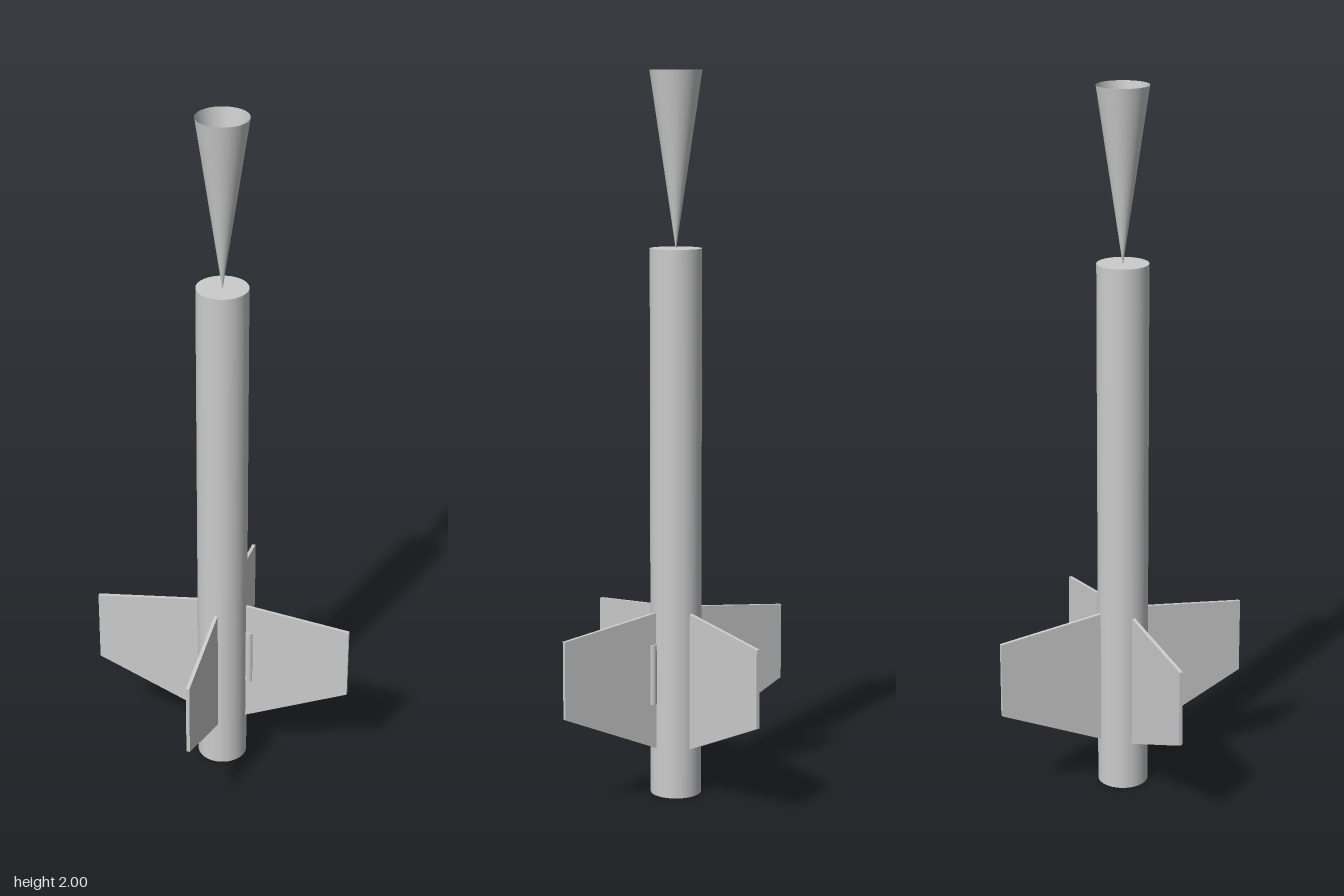
import * as THREE from 'three';

export function createModel() {
  const group = new THREE.Group();
  group.name = 'modelRocket';
  const grey = new THREE.MeshStandardMaterial({ color: 0xcccccc, side: THREE.DoubleSide });
  grey.name = 'light grey';

  const add = (name, geometry, y, x = 0) => {
    const mesh = new THREE.Mesh(geometry, grey);
    mesh.name = name;
    mesh.position.set(x, y, 0);
    group.add(mesh);
    return mesh;
  };

  const radius = 0.071, bodyHeight = 1.525, noseHeight = 2 - bodyHeight;

  // Body tube, closed at both ends
  add('bodyTube', new THREE.CylinderGeometry(radius, radius, bodyHeight, 64), bodyHeight / 2);

  // Hollow cone standing on its tip, open at the top
  add('noseCone', new THREE.CylinderGeometry(radius, 0.001, noseHeight, 64, 1, true), bodyHeight + noseHeight / 2);

  // Four swept fins, rooted just inside the tube wall
  const thickness = 0.01;
  const outline = new THREE.Shape([
    [radius - 0.002, 0.137], [0.371, 0.27], [0.371, 0.486], [radius - 0.002, 0.524],
  ].map(([x, y]) => new THREE.Vector2(x, y)));
  const finGeometry = new THREE.ExtrudeGeometry(outline, { depth: thickness, bevelEnabled: false });
  finGeometry.translate(0, 0, -thickness / 2);
  for (let i = 0; i < 4; i++) {
    add('fin' + (i + 1), finGeometry, 0).rotation.y = i * Math.PI / 2;
  }

  // Launch lug beside the tube, straddling the left fin
  add('launchLug', new THREE.CylinderGeometry(0.012, 0.012, 0.17, 24), 0.35, 0.08);

  return group;
}
